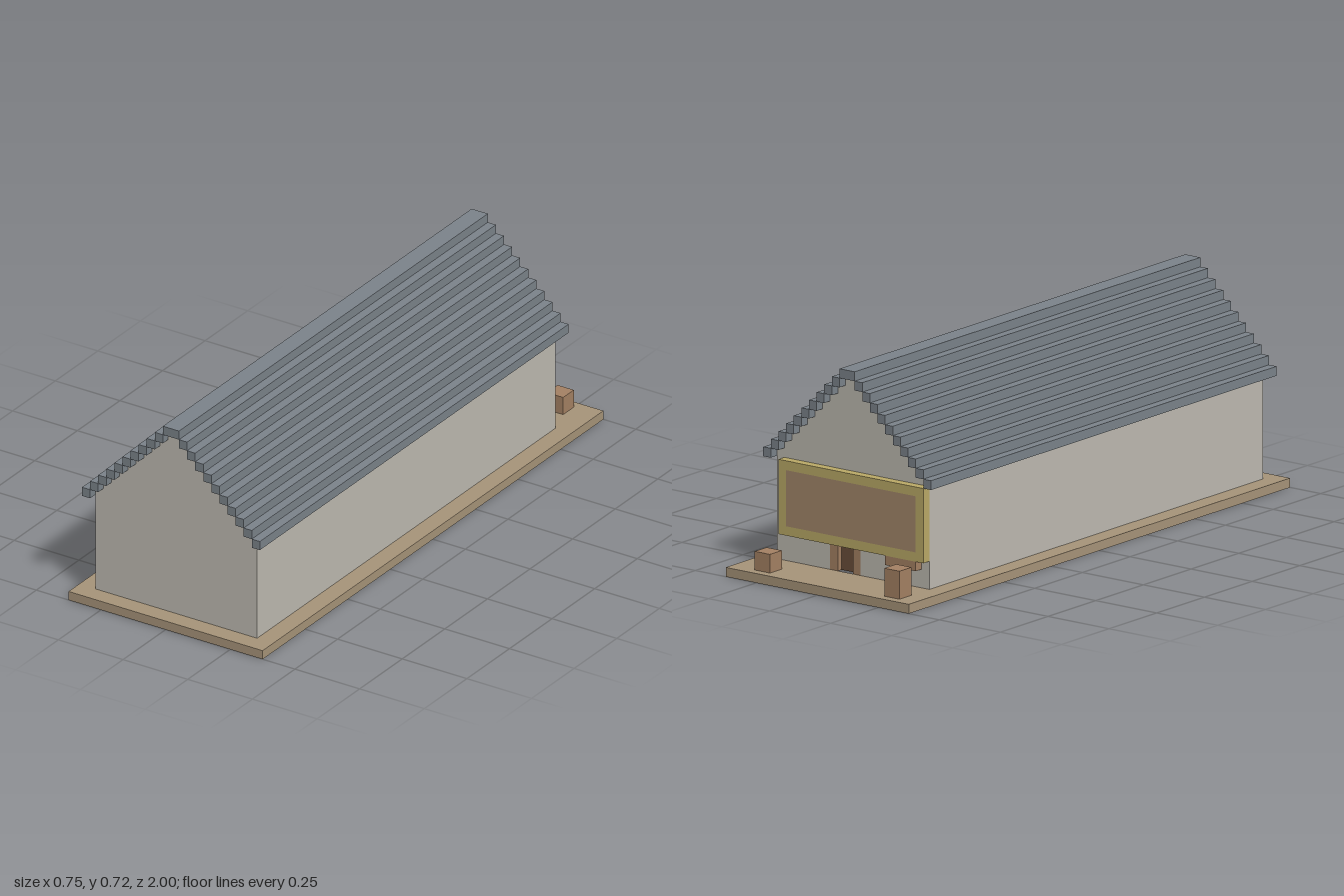
import * as THREE from 'three';

const U = 1 / 32; // one block

const paint = (color) => new THREE.MeshStandardMaterial({ color, side: THREE.DoubleSide });
const mats = {
  earth: paint(0xa8957a),
  plaster: paint(0xbfbbb2),
  roof: paint(0x7c848b),
  gold: paint(0xbcab68),
  panel: paint(0xa4886a),
  wood: paint(0xa58264),
  door: paint(0x6a4e3a),
};

function group(parent, name) {
  const g = new THREE.Group();
  g.name = name;
  parent.add(g);
  return g;
}

function add(parent, name, geometry, mat) {
  const mesh = new THREE.Mesh(geometry, mat);
  mesh.name = name;
  parent.add(mesh);
  return mesh;
}

// Box given by its corner ranges in blocks
function block(parent, name, mat, x0, x1, y0, y1, z0, z1) {
  const mesh = add(parent, name, new THREE.BoxGeometry((x1 - x0) * U, (y1 - y0) * U, (z1 - z0) * U), mat);
  mesh.position.set((x0 + x1) / 2 * U, (y0 + y1) / 2 * U, (z0 + z1) / 2 * U);
}

// Surface swept along z from a profile that runs left to right over the top
function sweep(parent, name, mat, profile, z0, z1) {
  const pos = [];
  for (let i = 0; i + 1 < profile.length; i++) {
    const [a, b] = [profile[i], profile[i + 1]];
    for (const [p, z] of [[a, z0], [a, z1], [b, z1], [a, z0], [b, z1], [b, z0]]) pos.push(p[0] * U, p[1] * U, z * U);
  }
  const geo = new THREE.BufferGeometry();
  geo.setAttribute('position', new THREE.Float32BufferAttribute(pos, 3));
  geo.computeVertexNormals();
  add(parent, name, geo, mat);
}

const points = (list) => list.map(([x, y]) => new THREE.Vector2(x * U, y * U));
const rect = (x0, x1, y0, y1) => points([[x0, y0], [x1, y0], [x1, y1], [x0, y1]]);

// Stepped gable sheet facing front or back, with an optional doorway
function gable(parent, name, half, z, facesBack, doorway) {
  const right = [];
  for (let x = half; x >= 1; x--) right.push([x, 23 - x], [x - 1, 23 - x]);
  const left = right.map(([x, y]) => [-x, y]).reverse();
  const notch = doorway ? [[-1, 1], [-1, 4], [3, 4], [3, 1]] : [];
  const outline = points([[-half, 1], ...notch, [half, 1], ...right, ...left.slice(1)]);
  const geo = new THREE.ShapeGeometry(new THREE.Shape(outline));
  if (facesBack) geo.scale(-1, 1, 1).rotateY(Math.PI);
  add(parent, name, geo, mats.plaster).position.z = z * U;
}

export function createModel() {
  const model = new THREE.Group();
  model.name = 'longHouse';

  // Ground slab: a shell open below, with a slot under the hollow walls
  const slab = group(model, 'groundSlab');
  const rim = new THREE.Shape(rect(-12, 12, -32, 32));
  rim.holes.push(new THREE.Path(rect(-10, 10, -30, 26)));
  const floor = new THREE.Shape(rect(-9, 9, -29, 25));
  const tops = new THREE.ShapeGeometry([rim, floor]).rotateX(-Math.PI / 2);
  add(slab, 'slabTop', tops, mats.earth).position.y = U;
  for (let i = 0; i < 4; i++) {
    const [width, reach] = i % 2 ? [64, 12] : [24, 32];
    const side = new THREE.PlaneGeometry(width * U, U).translate(0, U / 2, reach * U);
    add(slab, 'slabSide', side.rotateY(i * Math.PI / 2), mats.earth);
  }

  // Walls: outer and inner skins
  const walls = group(model, 'walls');
  gable(walls, 'frontGable', 10, 30, false, false);
  gable(walls, 'backGable', 10, -26, true, true);
  gable(walls, 'frontGableInside', 9, 29, true, false);
  gable(walls, 'backGableInside', 9, -25, false, true);
  sweep(walls, 'rightWall', mats.plaster, [[-10, 1], [-10, 12]], -26, 30);
  sweep(walls, 'leftWall', mats.plaster, [[10, 12], [10, 1]], -26, 30);
  sweep(walls, 'rightWallInside', mats.plaster, [[-9, 13], [-9, 1]], -25, 29);
  sweep(walls, 'leftWallInside', mats.plaster, [[9, 1], [9, 13]], -25, 29);

  // Stepped roof surface, with solid steps where it overhangs the gables
  const roof = group(model, 'roof');
  const steps = [[-10, 12]];
  for (let i = 0; i < 11; i++) steps.push([i - 11, 12 + i], [i - 11, 13 + i]);
  const mirrored = steps.map(([x, y]) => [-x, y]).reverse();
  sweep(roof, 'roofSteps', mats.roof, [...steps, ...mirrored], -26, 30);
  for (const z of [-27, 30]) {
    for (let i = 0; i < 10; i++) {
      block(roof, 'leftVerge', mats.roof, 10 - i, 11 - i, 12 + i, 13 + i, z, z + 1);
      block(roof, 'rightVerge', mats.roof, i - 11, i - 10, 12 + i, 13 + i, z, z + 1);
    }
    block(roof, 'ridgeEnd', mats.roof, -1, 1, 22, 23, z, z + 1);
  }

  // Doorway at the back
  const door = group(model, 'door');
  block(door, 'doorPostLeft', mats.wood, 2, 3, 1, 4, -26, -25);
  block(door, 'doorPostRight', mats.wood, -1, 0, 1, 4, -26, -25);
  block(door, 'doorLintel', mats.wood, -1, 3, 4, 4.5, -25.98, -25.02);
  block(door, 'doorPanel', mats.door, 0, 2, 1, 4, -25.4, -25);

  // Framed board above the door, and a small ledge below it
  const board = group(model, 'board');
  block(board, 'frameTop', mats.gold, -10, 9, 11, 12, -27, -26);
  block(board, 'frameBottom', mats.gold, -10, 9, 4, 5, -27, -26);
  block(board, 'frameLeft', mats.gold, 8, 9, 5, 11, -27, -26);
  block(board, 'frameRight', mats.gold, -10, -9, 5, 11, -27, -26);
  block(board, 'boardPanel', mats.panel, -9, 8, 5, 11, -27, -26);
  block(model, 'ledge', mats.wood, -9, -5, 3, 4, -27, -26);

  // Crates on the back terrace, the right one taller
  block(model, 'leftCrate', mats.wood, 7, 9, 1, 3, -31, -29);
  block(model, 'rightCrate', mats.wood, -10, -8, 1, 4, -31, -29);

  return model;
}
